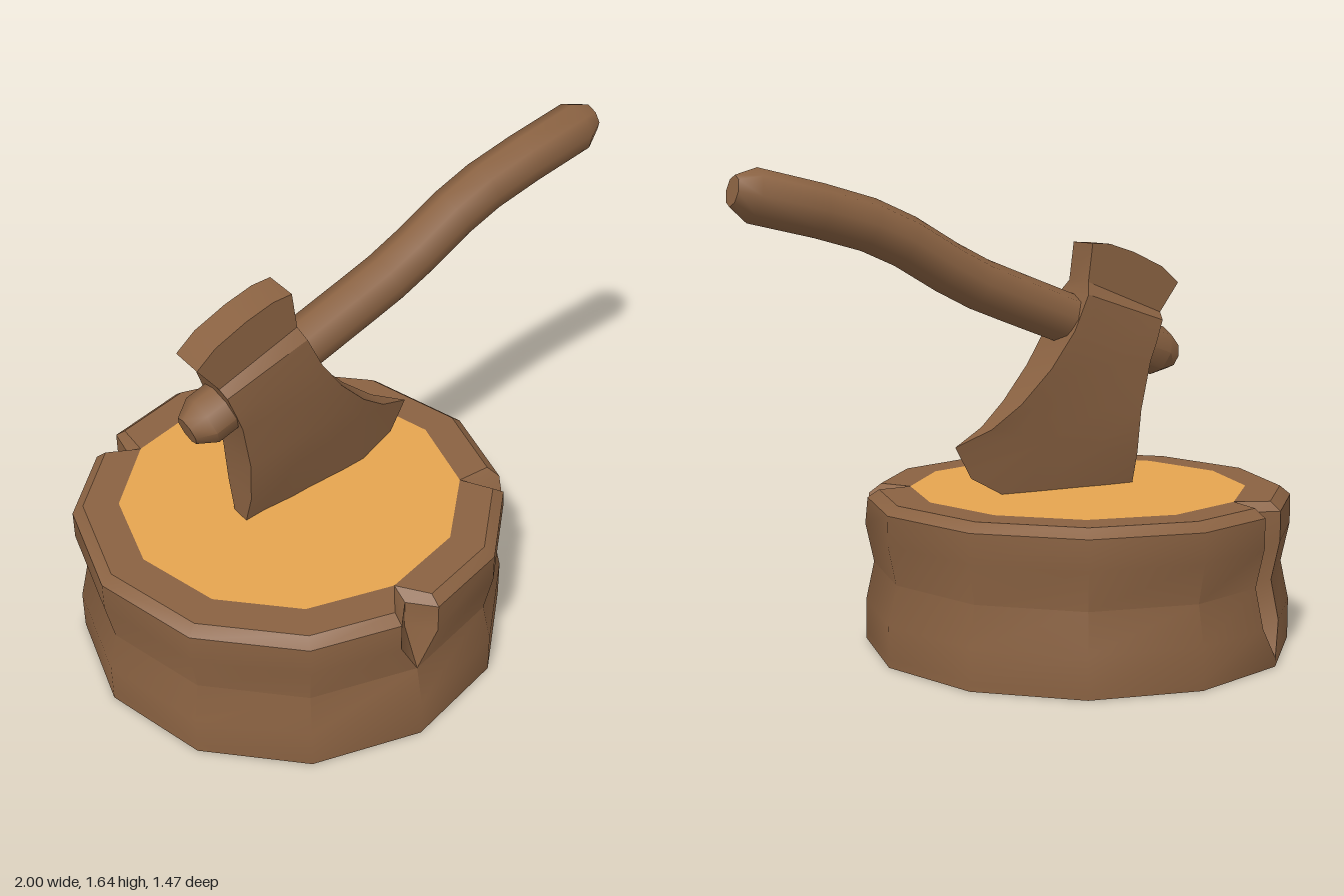
import * as THREE from 'three';
import { toCreasedNormals } from 'three/addons/utils/BufferGeometryUtils.js';

const bark = new THREE.MeshStandardMaterial({ color: 0x8a6242, side: THREE.DoubleSide });
const cutWood = new THREE.MeshStandardMaterial({ color: 0xe6a550, side: THREE.DoubleSide });
const V = (x, y, z) => new THREE.Vector3(x, y, z);

// Skin a stack of closed rings (arrays of points), dropping collapsed triangles
function loft(rings, crease) {
  const points = [];
  const tri = (a, b, c) => {
    const area = b.clone().sub(a).cross(c.clone().sub(a)).length();
    if (area > 1e-7) points.push(a, b, c);
  };
  for (let i = 0; i < rings.length - 1; i++) {
    const lo = rings[i], hi = rings[i + 1], n = lo.length;
    for (let j = 0; j < n; j++) {
      const k = (j + 1) % n;
      tri(lo[j], lo[k], hi[k]);
      tri(lo[j], hi[k], hi[j]);
    }
  }
  return toCreasedNormals(new THREE.BufferGeometry().setFromPoints(points), crease);
}

function part(name, geometry, material) {
  const mesh = new THREE.Mesh(geometry, material);
  mesh.name = name;
  return mesh;
}

const SIDES = 12, STUMP_X = -0.264, TOP = 0.54, INNER = 0.58;

// Hollow twelve-sided stump; split corners open V-shaped cracks below the rim
function stumpGeometry() {
  const profile = [[0, 0.737], [0.03, 0.737], [0.14, 0.737], [0.275, 0.708],
    [0.41, 0.737], [0.51, 0.737], [TOP, 0.70], [TOP, INNER]];
  // corner number -> half width of the crack at each profile level
  const cracks = {
    0: [0, 0, 0, 0, 0.076, 0.076, 0.076, 0],
    2: [0, 0, 0, 0, 0, 0.045, 0.06, 0],
    7: [0, 0, 0.07, 0.07, 0.07, 0.07, 0.07, 0],
  };
  const rings = profile.map(([y, r], level) => {
    const corner = (k, radius = r) => {
      const a = (k * Math.PI * 2) / SIDES;
      return V(STUMP_X + Math.sin(a) * radius, y, Math.cos(a) * radius);
    };
    const ring = [];
    for (let k = 0; k < SIDES; k++) {
      if (!cracks[k]) { ring.push(corner(k)); continue; }
      const width = cracks[k][level];
      const t = width / corner(k).distanceTo(corner(k + 1));
      const floor = width === 0 ? r : y === TOP ? INNER : r - 0.1;
      ring.push(corner(k).lerp(corner(k - 1), t), corner(k, floor), corner(k).lerp(corner(k + 1), t));
    }
    return ring;
  });
  return loft(rings, 0.6);
}

// Curved eight-sided handle with rounded-off ends: x, y, radius
function handleGeometry() {
  const path = [[-0.65, 0.975, 0], [-0.649, 0.976, 0.05], [-0.59, 0.993, 0.087],
    [-0.4, 1.06, 0.087], [-0.2, 1.13, 0.087], [0, 1.205, 0.087], [0.13, 1.255, 0.087],
    [0.25, 1.315, 0.087], [0.4, 1.402, 0.087], [0.53, 1.458, 0.087], [0.7, 1.505, 0.087],
    [0.925, 1.556, 0.087], [0.988, 1.57, 0.05], [0.989, 1.57, 0]];
  const rings = path.map(([x, y, r], i) => {
    const a = path[Math.max(i - 1, 0)], b = path[Math.min(i + 1, path.length - 1)];
    const along = V(b[0] - a[0], b[1] - a[1], 0).normalize();
    return Array.from({ length: 8 }, (_, j) => {
      const t = (j * Math.PI) / 4, s = -Math.sin(t) * r;
      return V(x - along.y * s, y + along.x * s, Math.cos(t) * r);
    });
  });
  return loft(rings, 0.9);
}

// Axe head: rows from the cutting edge up to the poll, mirrored in z
function headGeometry() {
  const steps = [0, 0.3, 0.6, 0.85, 1];
  const edge = [[-0.47, 0.42], [-0.25, 0.44], [-0.03, 0.5], [0.16, 0.605], [0.22, 0.715]];
  const poll = [[-0.635, 1.235], [-0.565, 1.293], [-0.45, 1.345], [-0.35, 1.376], [-0.28, 1.38]];
  // left x, y, right x, y, half thickness left and right
  const rows = [
    [-0.465, 0.65, 0.1, 0.77, 0.068, 0.035],
    [-0.47, 0.8, 0, 0.85, 0.082, 0.06],
    [-0.5, 0.97, -0.105, 0.965, 0.092, 0.08],
    [-0.525, 1.04, -0.19, 1.09, 0.095, 0.092],
    [-0.55, 1.11, -0.245, 1.21, 0.09, 0.09],
    [-0.56, 1.135, -0.263, 1.25, 0.06, 0.06],
  ];
  const ring = (outline, thickness) => {
    const front = outline.map(([x, y], i) => V(x, y, thickness(steps[i])));
    const back = front.map((p) => V(p.x, p.y, -p.z)).reverse();
    return [...front, ...back];
  };
  const lerp = THREE.MathUtils.lerp;
  const body = rows.map(([lx, ly, rx, ry, tl, tr]) =>
    ring(steps.map((u) => [lerp(lx, rx, u), lerp(ly, ry, u)]), (u) => lerp(tl, tr, u)));
  return loft([ring(edge, () => 0), ...body, ring(poll, () => 0.06), ring(poll, () => 0)], 0.4);
}

export function createModel() {
  const model = new THREE.Group();
  model.name = 'axeInStump';

  const stump = new THREE.Group();
  stump.name = 'stump';
  stump.add(part('stumpBark', stumpGeometry(), bark));

  // Pale sawn face set inside the bark rim
  const face = part('stumpTop', new THREE.CircleGeometry(INNER, SIDES), cutWood);
  face.rotation.x = -Math.PI / 2;
  face.position.set(STUMP_X, TOP, 0);
  stump.add(face);

  const axe = new THREE.Group();
  axe.name = 'axe';
  axe.add(part('axeHandle', handleGeometry(), bark), part('axeHead', headGeometry(), bark));

  model.add(stump, axe);
  return model;
}
